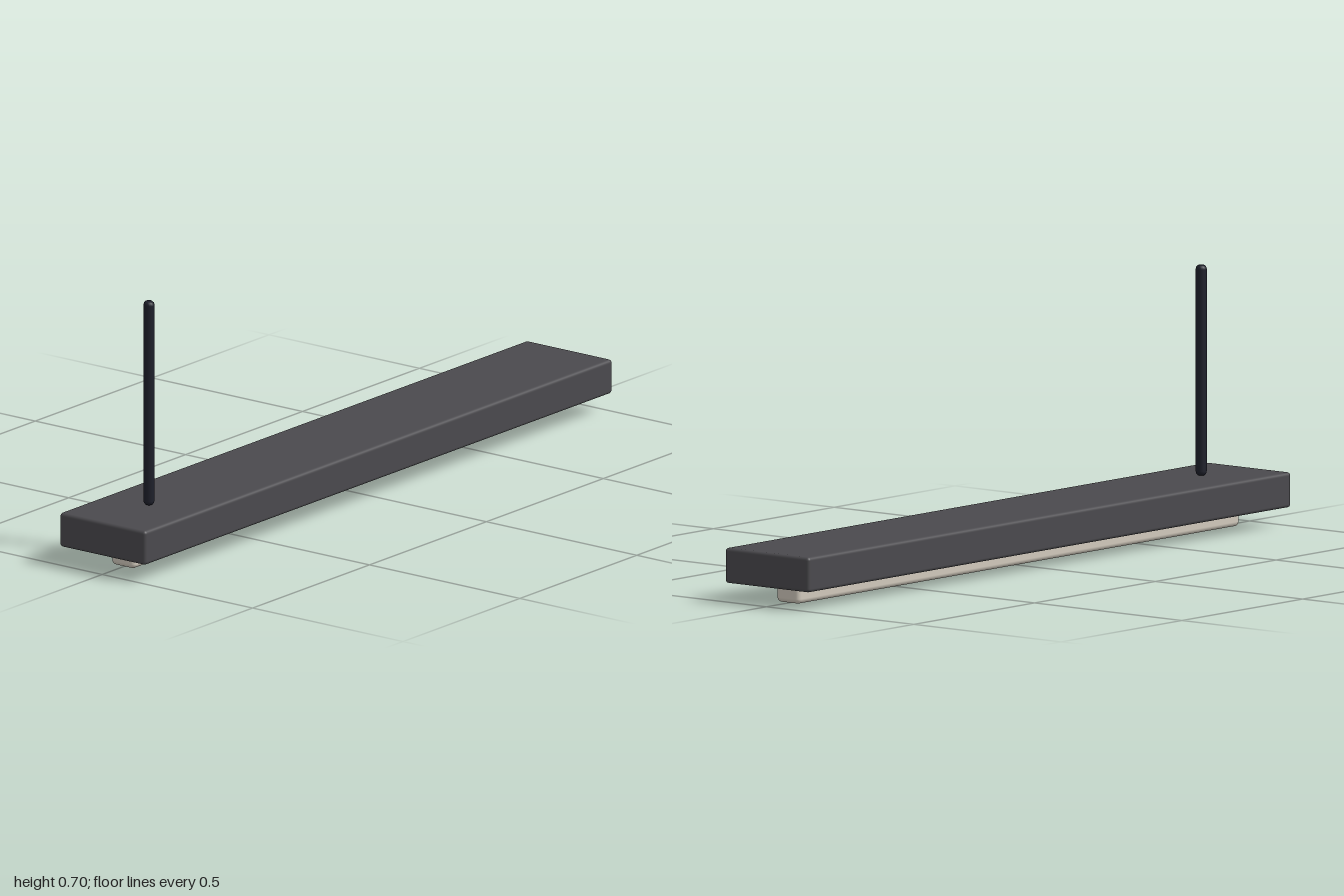
import * as THREE from 'three';
import { RoundedBoxGeometry } from 'three/addons/geometries/RoundedBoxGeometry.js';

function material(name, color) {
  const m = new THREE.MeshStandardMaterial({ color });
  m.name = name;
  return m;
}

export function createModel() {
  const group = new THREE.Group();
  group.name = 'linearPendantLamp';

  const add = (name, geometry, mat, x, y, z) => {
    const mesh = new THREE.Mesh(geometry, mat);
    mesh.name = name;
    mesh.position.set(x, y, z);
    group.add(mesh);
  };

  // long housing bar with softened edges
  add('housing', new RoundedBoxGeometry(2, 0.093, 0.286, 3, 0.009),
    material('charcoal', 0x4b4a4e), 0, 0.0975, 0);

  // light strip, its top sunk into the housing
  add('diffuser', new RoundedBoxGeometry(1.83, 0.075, 0.078, 3, 0.013),
    material('warm white', 0xd2cabd), 0, 0.0385, 0);

  // hanging rod with rounded ends
  const low = 0.146, high = 0.703, r = 0.015;
  const profile = [
    [0, low], [0.009, low], [0.013, low + 0.004], [r, low + 0.011],
    [r, high - 0.011], [0.013, high - 0.004], [0.009, high], [0, high],
  ].map(([x, y]) => new THREE.Vector2(x, y));
  add('hangingRod', new THREE.LatheGeometry(profile, 16),
    material('dark navy', 0x1e202b), -0.8, 0, 0);

  return group;
}
